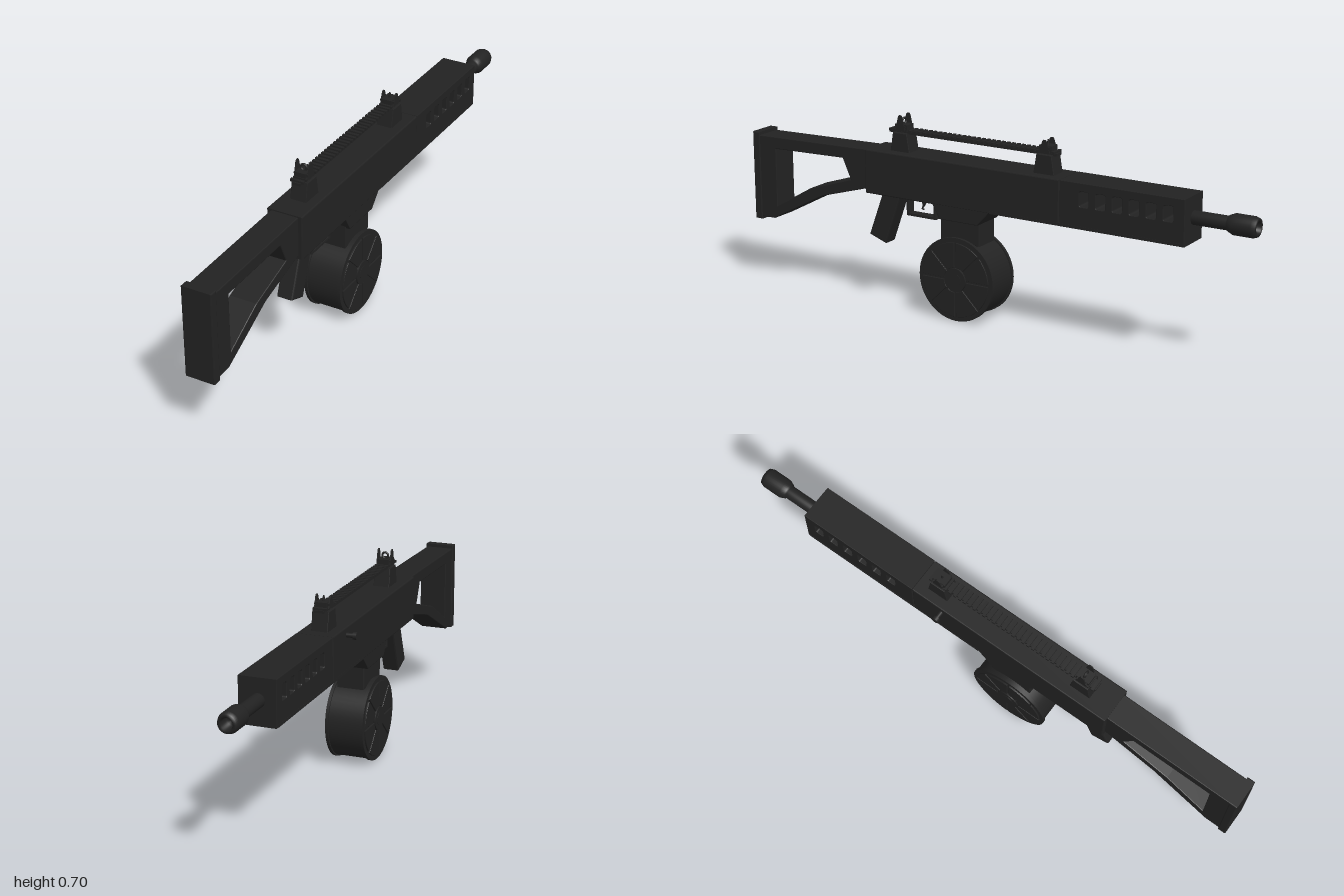
import * as THREE from 'three';

const CX = 0.012; // centre plane of the body
const black = new THREE.MeshStandardMaterial({ color: 0x222222 });
black.name = 'matteBlack';

export function createModel() {
  const root = new THREE.Group();
  root.name = 'toyBlaster';

  const add = (name, geometry, x = 0, y = 0, z = 0, parent = root) => {
    const mesh = new THREE.Mesh(geometry, black);
    mesh.name = name;
    mesh.position.set(x, y, z);
    parent.add(mesh);
    return mesh;
  };
  const group = (name) => {
    const g = new THREE.Group();
    g.name = name;
    root.add(g);
    return g;
  };
  const poly = (pts, Type = THREE.Shape) => new Type(pts.map(([z, y]) => new THREE.Vector2(z, y)));

  // Extrude a side profile drawn in (z, y) to a total width along x
  const side = (shape, width, bevel = 0.003) => {
    const g = new THREE.ExtrudeGeometry(shape, {
      depth: width - 2 * bevel, bevelEnabled: bevel > 0, bevelThickness: bevel,
      bevelSize: bevel, bevelOffset: -bevel, bevelSegments: 2, curveSegments: 10,
    });
    g.translate(0, 0, -(width - 2 * bevel) / 2);
    return g.rotateY(-Math.PI / 2);
  };
  const profile = (name, pts, width, bevel, parent, x = CX) =>
    add(name, side(poly(pts), width, bevel), x, 0, 0, parent);
  const box = (name, w, h, d, x, y, z, parent) => add(name, new THREE.BoxGeometry(w, h, d), x, y, z, parent);
  const disc = (name, r, w, x, y, z, parent) =>
    add(name, new THREE.CylinderGeometry(r, r, w, 48).rotateZ(Math.PI / 2), x, y, z, parent);
  const rect = (z0, z1, y0, y1) => [[z0, y0], [z1, y0], [z1, y1], [z0, y1]];

  // Receiver and magazine well
  profile('receiver', rect(-0.309, 0.485, 0.41, 0.57), 0.132, 0.004);
  profile('magazineWell', [[0.015, 0.36], [0.17, 0.36], [0.205, 0.42], [-0.04, 0.42]], 0.131);
  profile('magazineNeck', rect(0.015, 0.175, 0.28, 0.37), 0.1);

  // Handguard with a row of through slots
  const guard = poly(rect(-0.773, -0.311, 0.41, 0.57));
  for (let i = 0; i < 6; i++) {
    const z = -0.403 - i * 0.0622, w = 0.018, r = 0.007, y0 = 0.488, y1 = 0.541;
    const slot = new THREE.Path();
    slot.moveTo(z - w + r, y0);
    slot.lineTo(z + w - r, y0).quadraticCurveTo(z + w, y0, z + w, y0 + r);
    slot.lineTo(z + w, y1 - r).quadraticCurveTo(z + w, y1, z + w - r, y1);
    slot.lineTo(z - w + r, y1).quadraticCurveTo(z - w, y1, z - w, y1 - r);
    slot.lineTo(z - w, y0 + r).quadraticCurveTo(z - w, y0, z - w + r, y0);
    guard.holes.push(slot);
  }
  add('handguard', side(guard, 0.131, 0.002), CX);
  box('handguardLip', 0.133, 0.01, 0.73, CX, 0.416, -0.4);

  // Barrel and muzzle, one turned profile pointing to -z
  const turned = [[0, 0.75], [0.024, 0.75], [0.024, 0.895], [0.028, 0.9], [0.036, 0.918],
    [0.036, 0.985], [0.031, 1], [0.02, 1], [0.018, 0.96], [0, 0.96]];
  const lathe = new THREE.LatheGeometry(turned.map(([r, l]) => new THREE.Vector2(r, l)), 32);
  add('barrel', lathe.rotateX(-Math.PI / 2), CX - 0.002, 0.495, 0);

  // Open stock with butt pad
  const stock = poly([[0.975, 0.245], [0.914, 0.247], [0.689, 0.365], [0.47, 0.428], [0.47, 0.566], [0.975, 0.556]]);
  stock.holes.push(poly([[0.898, 0.513], [0.594, 0.52], [0.56, 0.445], [0.743, 0.386], [0.898, 0.297]], THREE.Path));
  add('stock', side(stock, 0.102), CX);
  profile('buttPad', rect(0.97, 1, 0.236, 0.568), 0.11, 0.004);

  // Pistol grip, trigger and its guard
  profile('grip', [[0.426, 0.222], [0.496, 0.247], [0.432, 0.42], [0.355, 0.42]], 0.062, 0.006);
  const loop = poly(rect(0.218, 0.342, 0.337, 0.415));
  loop.holes.push(poly(rect(0.228, 0.332, 0.347, 0.405), THREE.Path));
  add('triggerGuard', side(loop, 0.032, 0.001), CX);
  profile('trigger', [[0.287, 0.415], [0.268, 0.415], [0.272, 0.385], [0.285, 0.366], [0.277, 0.363], [0.282, 0.39]], 0.012, 0);

  // Drum magazine: body, rims, wedge plates and hubs
  const drum = group('drumMagazine');
  drum.position.set(CX, 0.152, 0.1);
  disc('drumBody', 0.147, 0.138, 0, 0, 0, drum);
  for (const s of [-1, 1]) {
    disc('drumRim', 0.152, 0.011, s * 0.0645, 0, 0, drum);
    disc('drumHub', 0.043, 0.012, s * 0.0715, 0, 0, drum);
    disc('hubCap', 0.024, 0.003, s * 0.077, 0, 0, drum);
    for (let i = 0; i < 8; i++) {
      const a = (i * Math.PI) / 4, e = Math.PI / 4;
      const wedge = new THREE.Shape();
      wedge.absarc(0, 0, 0.135, a + 0.03, a + e - 0.03, false);
      wedge.absarc(0, 0, 0.046, a + e - 0.08, a + 0.08, true);
      add('drumWedge', side(wedge, 0.008, 0.001), s * 0.0715, 0, 0, drum);
    }
  }

  // Charging handle on the right side
  disc('chargingShaft', 0.008, 0.04, -0.064, 0.543, -0.188);
  disc('chargingKnob', 0.013, 0.013, -0.085, 0.543, -0.188);

  // Toothed top rail
  box('rail', 0.034, 0.009, 0.68, CX, 0.638, 0.07);
  for (let i = 0; i < 34; i++) box('railTooth', 0.05, 0.009, 0.011, CX, 0.645, 0.4 - i * 0.02);

  // Sights on tapered bases
  const sight = (name, z, top, notch) => {
    const g = group(name);
    profile('sightBase', [[z - 0.041, 0.565], [z + 0.041, 0.565], [z + 0.029, 0.637], [z - 0.029, 0.637]], 0.06, 0.002, g);
    box('sightBlock', 0.04, 0.022, 0.05, CX, 0.655, z, g);
    for (const s of [-1, 1]) {
      profile('sightEar', [[z - 0.02, 0.645], [z + 0.02, 0.645], [z + 0.008, top - 0.005], [z + 0.004, top],
        [z - 0.004, top], [z - 0.008, top - 0.005]], 0.004, 0, g, CX + s * 0.025);
    }
    box('sightFoot', 0.054, 0.006, 0.04, CX, 0.659, z, g);
    if (notch) add('sightRing', new THREE.TorusGeometry(0.011, 0.004, 8, 20), CX, 0.676, z, g);
    else add('sightPost', new THREE.CylinderGeometry(0.003, 0.005, 0.03, 12), CX, 0.67, z, g);
  };
  sight('rearSight', 0.358, 0.7, true);
  sight('frontSight', -0.228, 0.687, false);

  return root;
}
